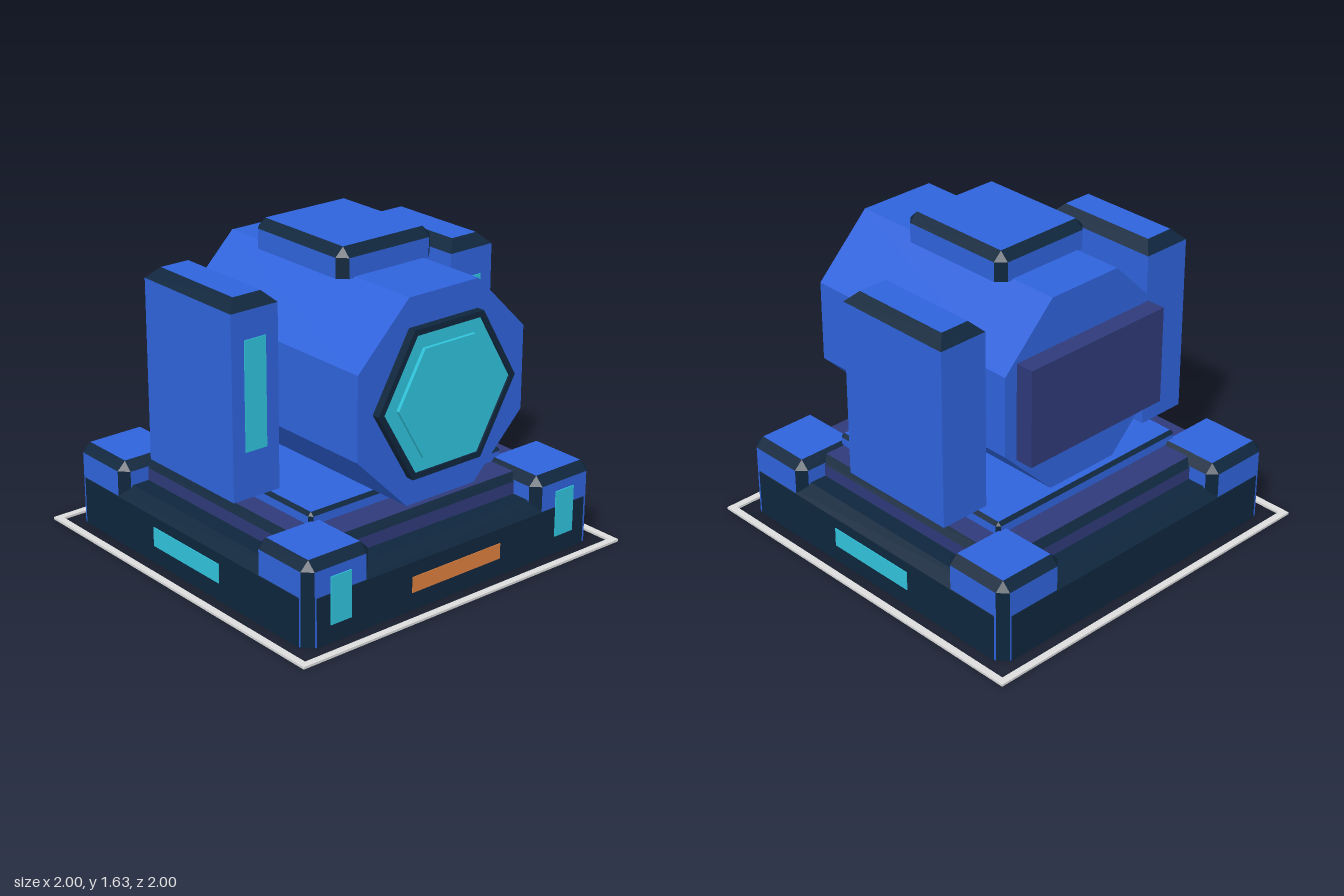
import * as THREE from 'three';

export function createModel() {
  const mat = (name, color) => {
    const m = new THREE.MeshStandardMaterial({ color });
    m.name = name;
    return m;
  };
  const blue = mat('blue', 0x2f63dc);
  const navy = mat('navy', 0x0e263d);
  const indigo = mat('indigo', 0x2f3a7a);
  const cyan = mat('cyan', 0x30c4dc);
  const orange = mat('orange', 0xdc7f3e);
  const grey = mat('grey', 0xdcdcdc);

  const model = new THREE.Group();
  model.name = 'machine';

  function add(name, geometry, material, x = 0, y = 0, z = 0) {
    const mesh = new THREE.Mesh(geometry, material);
    mesh.name = name;
    mesh.position.set(x, y, z);
    model.add(mesh);
    return mesh;
  }

  // Box from cross-section loops: v chamfers the upright edges, top and bottom
  // chamfer the rims. Group 0 holds the flat faces, group 1 the chamfers.
  function chamferBox(w, d, y0, y1, { v = 0, top = 0, bottom = 0 }) {
    const loop = (y, inset, c) => {
      const a = w / 2 - inset, b = d / 2 - inset;
      return [[a - c, b], [a, b - c], [a, -b + c], [a - c, -b], [-a + c, -b], [-a, -b + c], [-a, b - c], [-a + c, b]]
        .map(([x, z]) => new THREE.Vector3(x, y, z));
    };
    const faces = [], trims = [];
    const tri = (out, a, b, c) => {
      const area = b.clone().sub(a).cross(c.clone().sub(a)).length();
      if (area > 1e-8) [a, b, c].forEach(p => out.push(p.x, p.y, p.z));
    };
    const loops = [];
    if (bottom) loops.push(loop(y0, bottom, 0));
    loops.push(loop(y0 + bottom, 0, v), loop(y1 - top, 0, v), loop(y1, top, 0));
    const wall = bottom ? 1 : 0;
    for (let k = 0; k < loops.length - 1; k++) {
      for (let i = 0; i < 8; i++) {
        const j = (i + 1) % 8, lo = loops[k], hi = loops[k + 1];
        const out = k === wall && i % 2 ? faces : trims;
        tri(out, lo[i], lo[j], hi[j]);
        tri(out, lo[i], hi[j], hi[i]);
      }
    }
    const base = loops[0], lid = loops[loops.length - 1];
    for (let i = 1; i < 7; i++) {
      tri(faces, lid[0], lid[i], lid[i + 1]);
      tri(faces, base[0], base[i + 1], base[i]);
    }
    const g = new THREE.BufferGeometry();
    g.setAttribute('position', new THREE.Float32BufferAttribute([...faces, ...trims], 3));
    g.addGroup(0, faces.length / 3, 0);
    g.addGroup(faces.length / 3, trims.length / 3, 1);
    g.computeVertexNormals();
    return g;
  }

  // Faceted prism lying along x
  function prism(radius, sides, length, turn = 0) {
    const g = new THREE.CylinderGeometry(radius, radius, length, sides, 1, false, turn)
      .rotateZ(-Math.PI / 2).toNonIndexed();
    g.computeVertexNormals();
    return g;
  }

  const plate = (name, material, w, h, d, x, y, z) =>
    add(name, new THREE.BoxGeometry(w, h, d), material, x, y, z);

  // Thin ground frame
  const square = (path, s) => path.moveTo(-s, -s).lineTo(s, -s).lineTo(s, s).lineTo(-s, s).closePath();
  const border = square(new THREE.Shape(), 1);
  border.holes.push(square(new THREE.Path(), 0.963));
  add('groundFrame', new THREE.ExtrudeGeometry(border, { depth: 0.012, bevelEnabled: false })
    .rotateX(-Math.PI / 2), grey);

  // Stepped base
  add('base', chamferBox(1.804, 1.804, 0.008, 0.315, { v: 0.06, top: 0.06 }), [navy, navy]);
  add('deck', chamferBox(1.5, 1.5, 0.25, 0.415, { v: 0.035, top: 0.035 }), [indigo, navy]);
  add('platform', chamferBox(1.13, 1.21, 0.39, 0.475, { v: 0.018, top: 0.018, bottom: 0.018 }), [blue, navy]);

  // Corner blocks, with lights on the right-hand pair
  for (const sx of [-1, 1]) {
    for (const sz of [-1, 1]) {
      add('cornerBlock', chamferBox(0.39, 0.39, 0.012, 0.433, { v: 0.045, top: 0.045 }),
        [blue, navy], sx * 0.705, 0, sz * 0.705);
    }
  }

  for (const s of [-1, 1]) {
    plate('cornerLight', cyan, 0.008, 0.24, 0.12, 0.902, 0.22, s * 0.705);
    plate('baseLight', cyan, 0.515, 0.1, 0.008, 0, 0.15, s * 0.902);
    // Side pillars flanking the drum
    add('pillar', chamferBox(0.66, 0.268, 0.475, 1.455, { top: 0.055 }), [blue, navy], -0.08, 0, s * 0.668);
    plate('pillarLight', cyan, 0.008, 0.55, 0.124, 0.25, 0.985, s * 0.668);
  }
  plate('warningBar', orange, 0.008, 0.08, 0.555, 0.902, 0.14, 0);

  // Octagonal drum with top hatch and rear panel
  const midY = 0.983;
  add('drum', prism(0.508 / Math.cos(Math.PI / 8), 8, 1.29, Math.PI / 8), blue, 0.135, midY, 0);
  add('topHatch', chamferBox(0.66, 0.575, 1.485, 1.63, { v: 0.045, top: 0.045 }), [blue, navy], 0.077, 0, 0);
  plate('rearPanel', indigo, 0.105, 0.51, 0.87, -0.555, midY, 0);

  // Hexagonal lens in a dark rim
  const hexagon = r => Array.from({ length: 6 }, (_, i) =>
    new THREE.Vector2(r * Math.cos(i * Math.PI / 3), r * Math.sin(i * Math.PI / 3)));
  const rim = new THREE.Shape(hexagon(0.42));
  rim.holes.push(new THREE.Path(hexagon(0.387)));
  add('lensRim', new THREE.ExtrudeGeometry(rim, { depth: 0.045, bevelEnabled: false })
    .rotateY(Math.PI / 2), navy, 0.777, midY, 0);
  add('lens', prism(0.387, 6, 0.035), cyan, 0.795, midY, 0);
  add('lensCore', prism(0.308, 6, 0.03), cyan, 0.815, midY, 0);

  return model;
}
